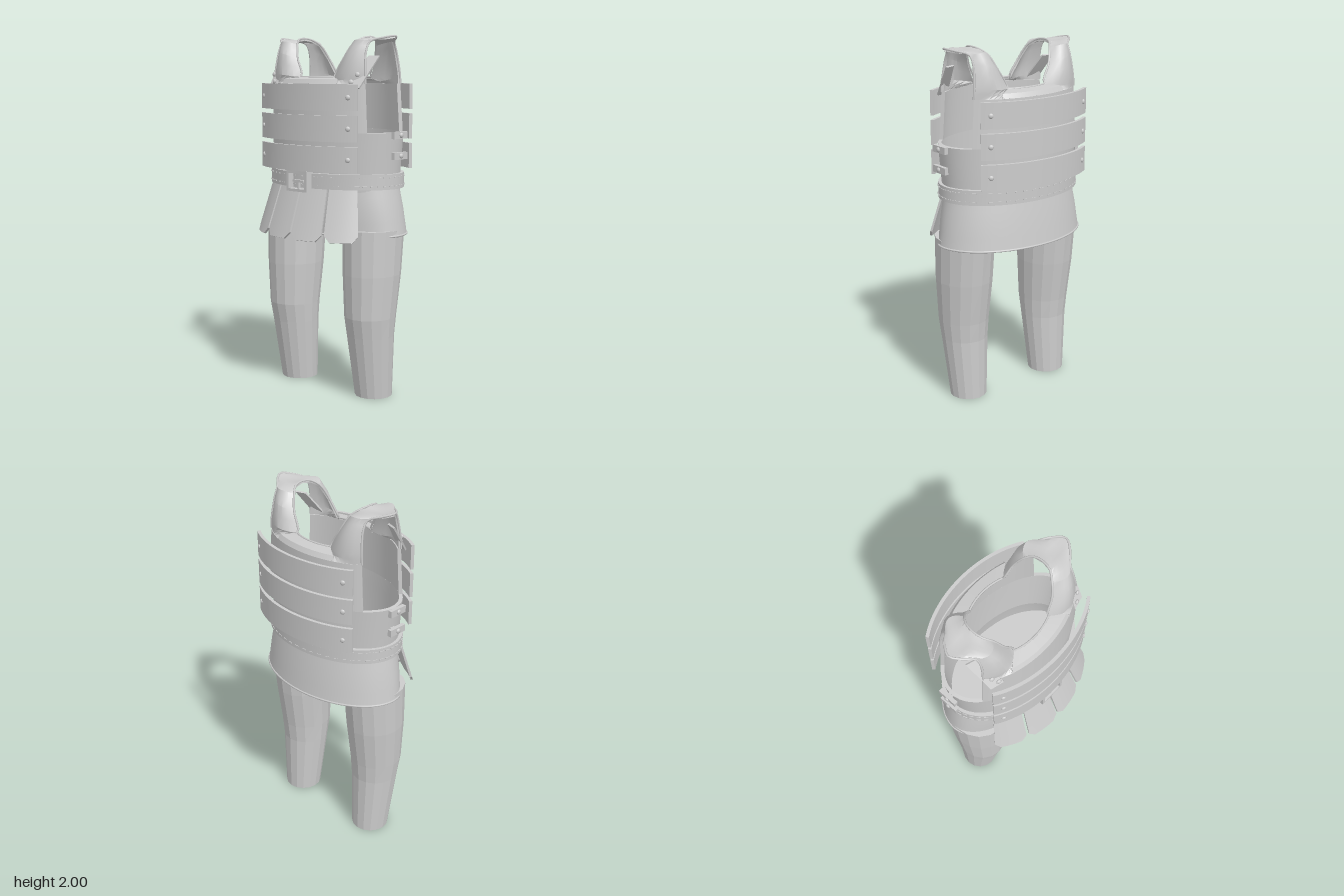
import * as THREE from 'three';
import { mergeGeometries, toCreasedNormals } from 'three/addons/utils/BufferGeometryUtils.js';

const ZC = -0.025; // depth of the body axis
const rad = THREE.MathUtils.degToRad;
const lerp = THREE.MathUtils.lerp;
const V = (x, y, z) => new THREE.Vector3(x, y, z);
const ringPoint = (t, y, a, bf, bb = bf) =>
  V(a * Math.cos(t), y, ZC + (Math.sin(t) > 0 ? bf : bb) * Math.sin(t));

// linear lookup in rows of [y, ...values], v in 0..1
function sample(rows, v) {
  const s = v * (rows.length - 1), i = Math.min(Math.floor(s), rows.length - 2);
  return rows[i].map((n, k) => lerp(n, rows[i + 1][k], s - i));
}

// solid sheet of even thickness behind the surface f(u, v)
function sheet(f, nu, nv, thick) {
  const pos = [], idx = [], e = 1e-3, n = (nu + 1) * (nv + 1);
  const outer = [], inner = [];
  for (let j = 0; j <= nv; j++) for (let i = 0; i <= nu; i++) {
    const u = i / nu, v = j / nv, p = f(u, v);
    const du = f(Math.min(1, u + e), v).sub(f(Math.max(0, u - e), v));
    const dv = f(u, Math.min(1, v + e)).sub(f(u, Math.max(0, v - e)));
    outer.push(p);
    inner.push(p.clone().addScaledVector(du.cross(dv).normalize(), -thick));
  }
  for (const p of [...outer, ...inner]) pos.push(p.x, p.y, p.z);
  const quad = (a, b, c, d) => idx.push(a, b, c, a, c, d);
  const at = (i, j) => j * (nu + 1) + i;
  for (let j = 0; j < nv; j++) for (let i = 0; i < nu; i++) {
    const q = [at(i, j), at(i + 1, j), at(i + 1, j + 1), at(i, j + 1)];
    quad(...q);
    quad(...q.reverse().map(k => k + n));
  }
  const wall = (a, b) => quad(b, a, a + n, b + n);
  for (let i = 0; i < nu; i++) { wall(at(i, 0), at(i + 1, 0)); wall(at(i + 1, nv), at(i, nv)); }
  for (let j = 0; j < nv; j++) { wall(at(0, j + 1), at(0, j)); wall(at(nu, j), at(nu, j + 1)); }
  const g = new THREE.BufferGeometry();
  g.setAttribute('position', new THREE.Float32BufferAttribute(pos, 3));
  g.setIndex(idx);
  return toCreasedNormals(g, rad(28));
}

// band between two angles (degrees) following rows of [y, a, bFront, bBack], top row first
const band = (t0, t1, rows, nu, nv, thick) => sheet((u, v) =>
  ringPoint(rad(lerp(t0, t1, u)), ...sample(rows, v)), nu, nv, thick);

const flip = f => (u, v) => { const p = f(1 - u, v); p.x *= -1; return p; };

export function createModel() {
  const model = new THREE.Group();
  const mat = new THREE.MeshStandardMaterial({ color: 0xcccccc, side: THREE.DoubleSide });
  const flat = new THREE.MeshStandardMaterial({ color: 0xcccccc, flatShading: true });
  const add = (name, geo, m = mat) => {
    const mesh = new THREE.Mesh(geo, m);
    mesh.name = name;
    model.add(mesh);
    return mesh;
  };
  const trim = (name, pts, closed = false) => add(name, new THREE.TubeGeometry(
    new THREE.CatmullRomCurve3(pts, closed), closed ? 96 : 32, 0.006, 6, closed));
  const rivet = (p, dir) => {
    const r = add('rivet', new THREE.SphereGeometry(0.014, 10, 8));
    r.scale.z = 0.6;
    r.position.copy(p);
    r.lookAt(p.clone().add(dir));
  };

  // Torso shell, hips and their floor
  add('torso', band(0, 360, [[1.48, 0.44, 0.262, 0.262], [1.32, 0.424, 0.26, 0.26], [1.16, 0.41, 0.255, 0.255]], 64, 4, 0.02));
  const hem = [0.92, 0.458, 0.232, 0.295];
  add('hips', band(0, 360, [[1.2, 0.408, 0.25, 0.25], [1.06, 0.437, 0.245, 0.275], hem], 64, 4, 0.012));
  trim('hipHem', Array.from({ length: 48 }, (_, i) => ringPoint(i / 48 * Math.PI * 2, ...hem)), true);
  const floor = new THREE.CircleGeometry(1, 48).rotateX(-Math.PI / 2).scale(0.447, 1, 0.25);
  add('hipFloor', floor).position.set(0, 0.945, ZC - 0.025);

  // Front and back: chest panel, yoke up to the neckline, layered plates
  for (const [side, mid, bPlate, tEnd] of [['front', 90, 0.332, 47], ['back', 270, 0.332, 47]]) {
    add(side + 'Panel', band(mid - 55, mid + 55,
      [[1.74, 0.42, 0.255, 0.255], [1.48, 0.44, 0.262, 0.262]], 32, 2, 0.02));
    add(side + 'Yoke', band(mid - 30, mid + 30,
      [[1.775, 0.25, 0.178, 0.178], [1.765, 0.4, 0.24, 0.24], [1.74, 0.42, 0.255, 0.255]], 24, 2, 0.012));
    trim(side + 'NeckTrim', Array.from({ length: 13 }, (_, i) =>
      ringPoint(rad(mid - 30 + i * 5), 1.775, 0.25, 0.178)));
    for (const y of [1.67, 1.505, 1.34]) {
      const rows = [[y + 0.07, 0.505, bPlate, bPlate], [y - 0.07, 0.505, bPlate, bPlate]];
      add(side + 'Plate', band(mid - tEnd + 1, mid + tEnd - 1, rows, 28, 1, 0.018));
      for (const s of [-1, 1]) {
        const t = rad(mid + s * 39);
        rivet(ringPoint(t, y, 0.505, bPlate), V(Math.cos(t) / 0.505, 0, Math.sin(t) / bPlate));
      }
    }
  }

  // Shoulder straps: outer and inner edges from chest to crown, repeated to the back
  const outerHalf = [V(0.344, 1.74, 0.121), V(0.34, 1.8, 0.12), V(0.33, 1.92, 0.1), V(0.335, 1.965, 0.075), V(0.385, 1.984, 0.03)];
  const innerHalf = [V(0.21, 1.74, 0.196), V(0.125, 1.775, 0.129), V(0.175, 1.88, 0.105), V(0.21, 1.955, 0.07), V(0.24, 1.984, 0.03)];
  const bowHalf = [[0.005, 0], [0.05, 0], [0.045, 0.005], [0.04, 0.015], [0.005, 0]];
  const whole = (half, top) => [...half, top,
    ...half.map(p => V(p.x, p.y, 2 * ZC - p.z)).reverse()];
  const outerEdge = whole(outerHalf, V(0.42, 1.994, ZC));
  const innerEdge = whole(innerHalf, V(0.25, 1.992, ZC));
  const bows = [...bowHalf, [0, -0.014], ...bowHalf.map(([z, y]) => [-z, y]).reverse()];
  const strap = (u, v) => {
    const pick = pts => V(...sample(pts.map(p => p.toArray()), v));
    const [bz, by] = sample(bows, v), k = 4 * u * (1 - u);
    return pick(innerEdge).lerp(pick(outerEdge), u).add(V(0, by * k, bz * k));
  };
  // Thin tab behind each front strap
  const tab = (u, v) => V(lerp(lerp(0.265, 0.31, v), lerp(0.34, 0.37, v), u),
    lerp(1.72, 1.89, v), lerp(0.19, 0.06, v) - 0.02 * u);
  for (const s of [1, -1]) {
    const m = f => (s > 0 ? f : flip(f));
    add('shoulderStrap', sheet(m(strap), 6, 20, 0.012));
    add('shoulderTab', sheet(m(tab), 2, 2, 0.01));
    for (const edge of [outerEdge, innerEdge]) trim('strapTrim', edge.map(p => V(s * p.x, p.y, p.z)));
    rivet(V(s * 0.315, 1.79, 0.155), V(s * 0.4, 0.2, 1));
    rivet(V(s * 0.29, 1.75, 0.178), V(s * 0.4, 0.2, 1));

    // Side fasteners below the armhole
    for (const y of [1.468, 1.357]) {
      add('sideFastener', new THREE.BoxGeometry(0.022, 0.038, 0.11)).position.set(s * 0.46, y, ZC);
      add('fastenerPin', new THREE.BoxGeometry(0.05, 0.014, 0.03)).position.set(s * 0.44, y, ZC);
      rivet(V(s * 0.473, y, ZC), V(s, 0, 0));
    }
  }

  // Belt with two rows of stitches
  add('belt', band(0, 360, [[1.258, 0.435, 0.288, 0.288], [1.175, 0.435, 0.288, 0.288]], 64, 1, 0.028));
  const stitches = [];
  for (const y of [1.193, 1.24]) for (let i = 0; i < 52; i++) {
    const t = i / 52 * Math.PI * 2, p = ringPoint(t, y, 0.435, 0.288);
    stitches.push(new THREE.BoxGeometry(0.024, 0.006, 0.007)
      .rotateY(Math.atan2(Math.cos(t) / 0.435, Math.sin(t) / 0.288)).translate(p.x, p.y, p.z));
  }
  add('beltStitches', mergeGeometries(stitches));

  // Buckle: open frame, bar and prong
  const rect = (path, w, h) => path.moveTo(-w, -h).lineTo(w, -h).lineTo(w, h).lineTo(-w, h).closePath();
  const frame = rect(new THREE.Shape(), 0.077, 0.057);
  frame.holes.push(rect(new THREE.Path(), 0.06, 0.042));
  add('buckleFrame', new THREE.ExtrudeGeometry(frame, { depth: 0.04, bevelEnabled: false })).position.set(0, 1.212, 0.258);
  add('buckleBar', new THREE.BoxGeometry(0.08, 0.012, 0.02)).position.set(0, 1.212, 0.278);
  add('buckleProng', new THREE.BoxGeometry(0.012, 0.05, 0.016)).position.set(0, 1.19, 0.28);

  // Hanging skirt flaps with clipped lower corners
  for (const [t0, t1] of [[40, 64], [66, 89.3], [90.7, 114], [116, 140]]) {
    add('skirtFlap', sheet((u, v) => {
      const clip = Math.max(0, (v - 0.875) / 0.125) * 0.17;
      const t = rad(lerp(t0, t1, lerp(clip, 1 - clip, u)));
      return ringPoint(t, lerp(1.175, 0.9, v), lerp(0.425, 0.5, v), lerp(0.29, 0.383, v));
    }, 6, 8, 0.012));
  }

  // Legs: rows of [y, centre x, radius x, centre z, radius z]
  const legRows = [[0.95, 0.295, 0.16, -0.008, 0.183], [0.7, 0.295, 0.156, 0.004, 0.17],
    [0.46, 0.294, 0.141, 0.016, 0.149], [0.35, 0.292, 0.132, 0.01, 0.133], [0, 0.29, 0.105, -0.02, 0.105]];
  for (const s of [1, -1]) {
    const leg = new THREE.CylinderGeometry(1, 1, 1, 16, 4);
    const p = leg.attributes.position;
    for (let i = 0; i < p.count; i++) {
      const [y, cx, rx, cz, rz] = legRows[Math.round((0.5 - p.getY(i)) * 4)];
      p.setXYZ(i, s * cx + p.getX(i) * rx, y, cz + p.getZ(i) * rz);
    }
    leg.computeVertexNormals();
    add(s > 0 ? 'leftLeg' : 'rightLeg', leg, flat);
  }
  return model;
}
